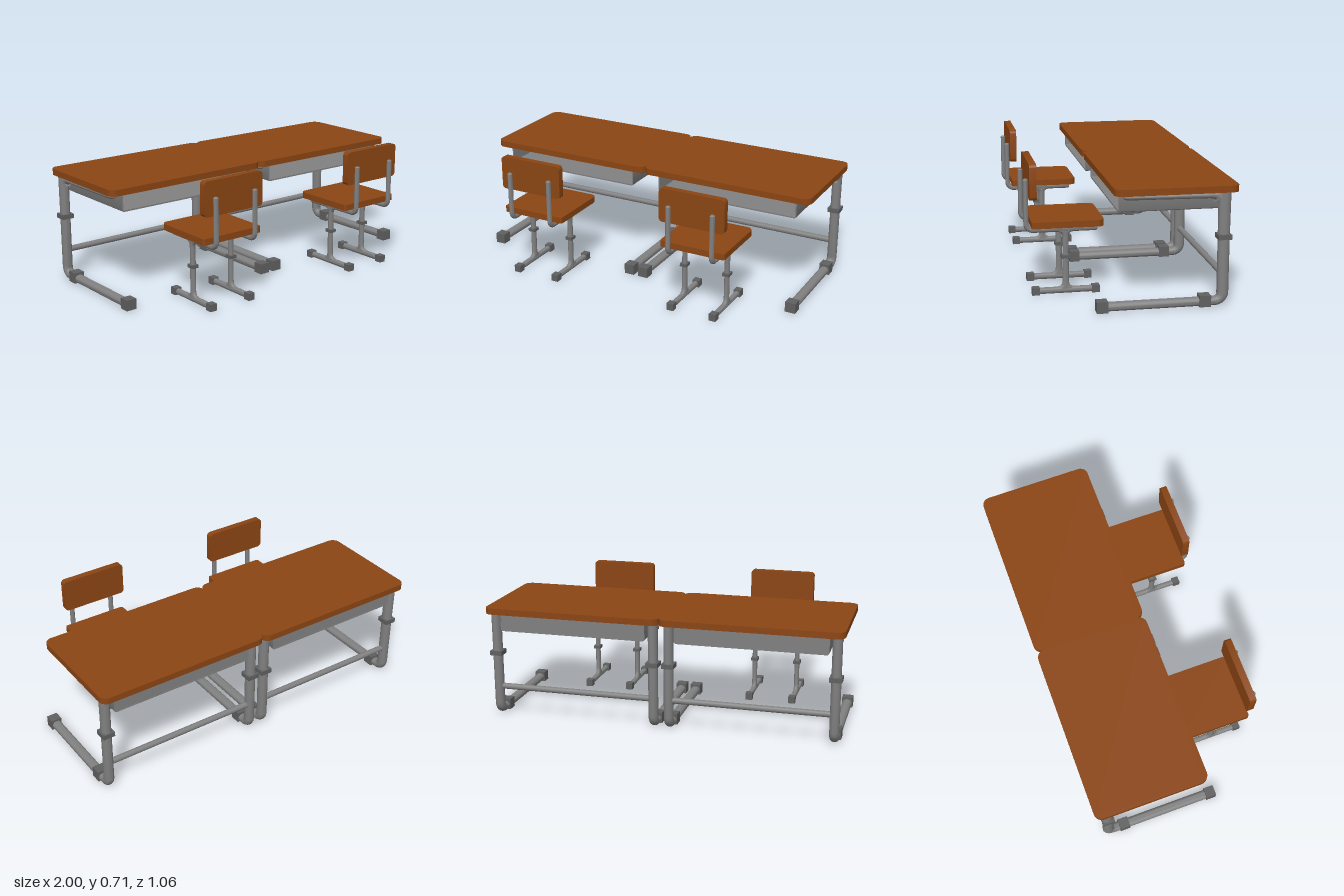
import * as THREE from 'three';
import { toCreasedNormals } from 'three/addons/utils/BufferGeometryUtils.js';

const wood = new THREE.MeshStandardMaterial({ color: 0x8b4513 });
const steel = new THREE.MeshStandardMaterial({ color: 0x808080 });
const rubber = new THREE.MeshStandardMaterial({ color: 0x606060 });

function add(parent, name, geometry, material, x = 0, y = 0, z = 0) {
  const mesh = new THREE.Mesh(geometry, material);
  mesh.name = name;
  mesh.position.set(x, y, z);
  parent.add(mesh);
  return mesh;
}

function group(parent, name, x = 0) {
  const g = new THREE.Group();
  g.name = name;
  g.position.x = x;
  parent.add(g);
  return g;
}

// Elliptical tube in the yz plane: sections are [z, y, in-plane radius, x radius]
function sweep(sections, rx, sides = 20) {
  const pos = [], idx = [], n = sections.length;
  sections.forEach(([z, y, h, w = rx], i) => {
    const a = sections[Math.max(i - 1, 0)], b = sections[Math.min(i + 1, n - 1)];
    const len = Math.hypot(b[0] - a[0], b[1] - a[1]);
    const tz = (b[0] - a[0]) / len, ty = (b[1] - a[1]) / len;
    for (let j = 0; j < sides; j++) {
      const t = (j / sides) * Math.PI * 2, s = h * Math.sin(t);
      pos.push(w * Math.cos(t), y + tz * s, z - ty * s);
    }
  });
  for (let i = 0; i < n - 1; i++) {
    for (let j = 0; j < sides; j++) {
      const k = (j + 1) % sides, a = i * sides, b = a + sides;
      idx.push(a + j, a + k, b + j, a + k, b + k, b + j);
    }
  }
  // End caps
  const c = n * sides, e = c - sides, last = sections[n - 1];
  pos.push(0, sections[0][1], sections[0][0], 0, last[1], last[0]);
  for (let j = 0; j < sides; j++) {
    const k = (j + 1) % sides;
    idx.push(c, k, j, c + 1, e + j, e + k);
  }
  const g = new THREE.BufferGeometry();
  g.setAttribute('position', new THREE.Float32BufferAttribute(pos, 3));
  g.setIndex(idx);
  return toCreasedNormals(g, 0.7);
}

// Sections round a bend, angles in the (z, y) plane, radius blending from h0 to h1
function bend(cz, cy, r, a0, a1, h0, h1, steps = 10) {
  return Array.from({ length: steps + 1 }, (_, i) => {
    const t = i / steps, a = a0 + (a1 - a0) * t;
    return [cz + r * Math.cos(a), cy + r * Math.sin(a), h0 + (h1 - h0) * t];
  });
}

// Rounded outline with radius r0 on the lower edge and r1 on the upper edge
function roundedRect(w, h, r0, r1 = r0) {
  const s = new THREE.Shape(), x = w / 2, y = h / 2;
  s.moveTo(-x + r0, -y);
  s.absarc(x - r0, -y + r0, r0, -Math.PI / 2, 0);
  s.absarc(x - r1, y - r1, r1, 0, Math.PI / 2);
  s.absarc(-x + r1, y - r1, r1, Math.PI / 2, Math.PI);
  s.absarc(-x + r0, -y + r0, r0, Math.PI, Math.PI * 1.5);
  s.closePath();
  return s;
}

function board(shape, depth, flat) {
  const g = new THREE.ExtrudeGeometry(shape, { depth, bevelEnabled: false, curveSegments: 8 });
  if (flat) g.rotateX(-Math.PI / 2);
  return toCreasedNormals(g, 0.6);
}

// Box given by its x width and its y and z ranges
function block(parent, name, w, y0, y1, z0, z1, material = rubber) {
  return add(parent, name, new THREE.BoxGeometry(w, y1 - y0, z1 - z0), material, 0, (y0 + y1) / 2, (z0 + z1) / 2);
}

function deskLeg(parent, x) {
  const leg = group(parent, 'deskLeg', x);
  // Floor runner bending up into the column
  add(leg, 'deskLegTube', sweep([
    [0.19, 0.029, 0.024], [-0.39, 0.029, 0.024],
    ...bend(-0.415, 0.072, 0.043, -Math.PI / 2, -Math.PI, 0.024, 0.031),
    [-0.458, 0.35, 0.031], [-0.459, 0.6, 0.033],
  ], 0.027), steel);
  // Arm under the top, flaring where it joins the column
  add(leg, 'deskArm', sweep([
    [0.062, 0.594, 0.008, 0.012], [0.055, 0.594, 0.014, 0.02], [0.04, 0.594, 0.017, 0.025],
    [-0.38, 0.589, 0.018], [-0.405, 0.588, 0.02], [-0.42, 0.583, 0.026], [-0.428, 0.572, 0.036],
  ], 0.026), steel);
  block(leg, 'deskLegCollar', 0.068, 0.357, 0.383, -0.493, -0.423);
  block(leg, 'deskFrontFoot', 0.06, 0.003, 0.062, 0.142, 0.2);
  block(leg, 'deskRearFoot', 0.06, 0.005, 0.065, -0.392, -0.332);
}

function desk(parent, x) {
  const d = group(parent, 'desk', x);
  add(d, 'deskTop', board(roundedRect(1, 0.64, 0.045), 0.035, true), wood, 0, 0.605, -0.21);
  for (const side of [-1, 1]) deskLeg(d, side * 0.456);
  const bar = new THREE.CylinderGeometry(0.017, 0.017, 0.9, 18).rotateZ(Math.PI / 2);
  add(d, 'crossBar', bar, steel, 0, 0.17, -0.458);

  // Open-fronted book tray: a bent sheet with a back wall
  const w = 0.418, t = 0.008, y0 = 0.504, y1 = 0.606, r = 0.014;
  const u = new THREE.Shape();
  u.moveTo(-w, y1);
  u.lineTo(-w, y0 + r);
  u.absarc(-w + r, y0 + r, r, Math.PI, Math.PI * 1.5);
  u.absarc(w - r, y0 + r, r, -Math.PI / 2, 0);
  u.lineTo(w, y1);
  u.lineTo(w - t, y1);
  u.lineTo(w - t, y0 + t);
  u.lineTo(-w + t, y0 + t);
  u.lineTo(-w + t, y1);
  u.closePath();
  add(d, 'trayShell', board(u, 0.57, false), steel, 0, 0, -0.492);
  block(d, 'trayBack', 2 * w - 0.01, y0 + 0.003, y1, -0.491, -0.483, steel);
}

function chairLeg(parent, x) {
  const leg = group(parent, 'chairLeg', x);
  // Back upright bending forward under the seat
  add(leg, 'chairFrameTube', sweep([
    [0.512, 0.631, 0.009, 0.009], [0.512, 0.626, 0.0135, 0.014], [0.512, 0.42, 0.0135],
    ...bend(0.477, 0.393, 0.035, 0, -Math.PI / 2, 0.0135, 0.0165),
    [0.145, 0.358, 0.0165], [0.135, 0.358, 0.012, 0.01],
  ], 0.014), steel);
  // Column, flared into the tubes at both ends
  add(leg, 'chairColumn', sweep([
    [0.305, 0.03, 0.06], [0.305, 0.038, 0.045], [0.305, 0.044, 0.028], [0.305, 0.054, 0.02],
    [0.305, 0.07, 0.017], [0.305, 0.315, 0.017], [0.305, 0.33, 0.02],
    [0.305, 0.338, 0.028], [0.305, 0.343, 0.045], [0.305, 0.35, 0.06],
  ], 0.0145), steel);
  add(leg, 'chairRunner', sweep([[0.475, 0.022, 0.0175], [0.135, 0.022, 0.0175]], 0.0155), steel);
  block(leg, 'chairCollar', 0.04, 0.198, 0.216, 0.282, 0.328);
  block(leg, 'chairFoot', 0.04, 0.003, 0.043, 0.445, 0.486);
  block(leg, 'chairFoot', 0.04, 0.003, 0.043, 0.125, 0.166);
}

function chair(parent, x) {
  const c = group(parent, 'chair', x);
  add(c, 'seat', board(roundedRect(0.38, 0.382, 0.012, 0.036), 0.035, true), wood, 0, 0.376, 0.297);
  add(c, 'backrest', board(roundedRect(0.38, 0.19, 0.02), 0.038, false), wood, 0, 0.622, 0.46);
  for (const side of [-1, 1]) chairLeg(c, side * 0.128);
}

export function createModel() {
  const model = new THREE.Group();
  model.name = 'schoolDesks';
  for (const x of [-0.5, 0.5]) {
    desk(model, x);
    chair(model, x - 0.003);
  }
  return model;
}
